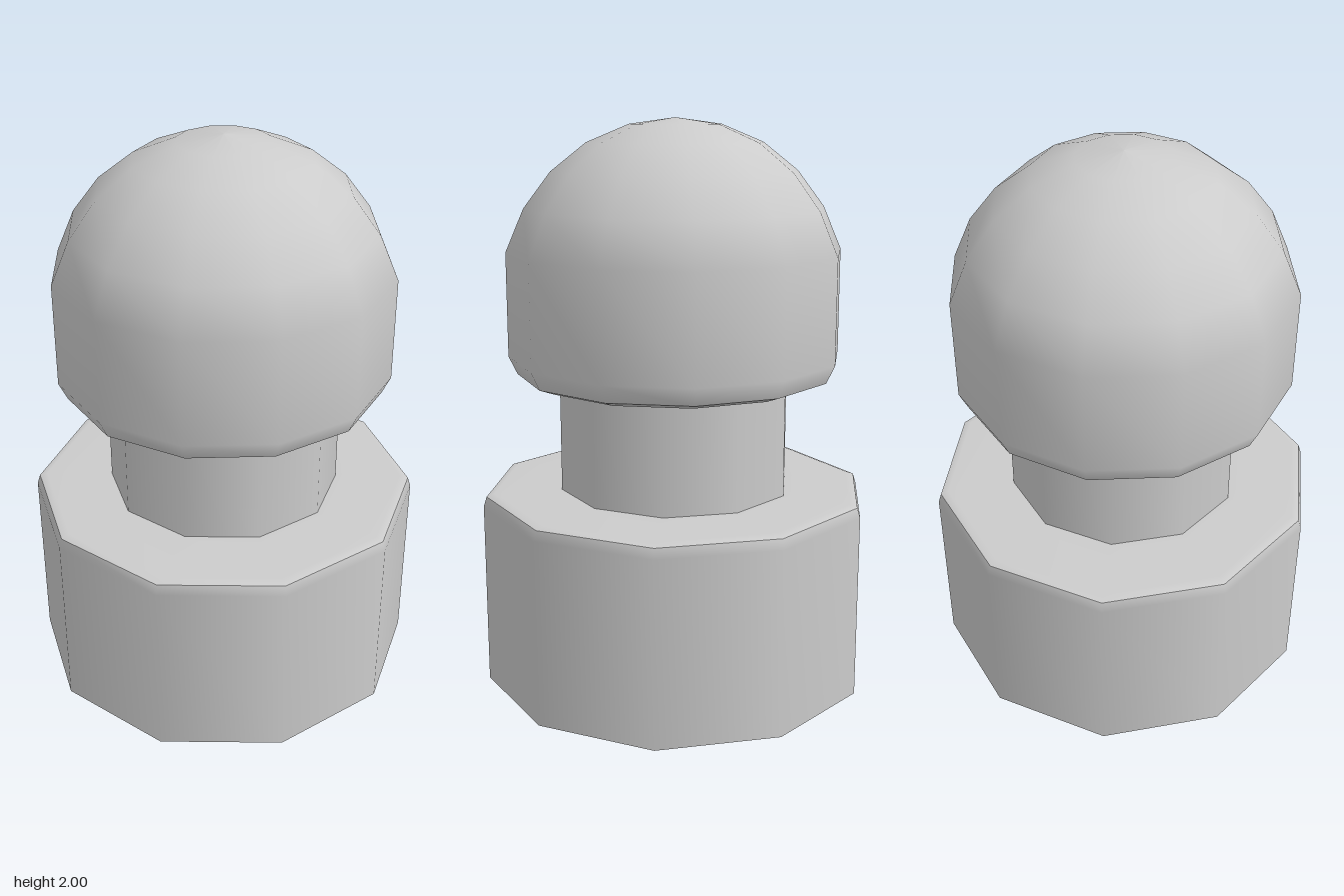
import * as THREE from 'three';

const material = new THREE.MeshStandardMaterial({ color: 0xcccccc, side: THREE.DoubleSide });

// One smooth turned surface; separate surfaces keep the edges between them sharp
function turned(name, sides, profile) {
  const points = profile.map(([r, y]) => new THREE.Vector2(r, y));
  const mesh = new THREE.Mesh(new THREE.LatheGeometry(points, sides), material);
  mesh.name = name;
  return mesh;
}

export function createModel() {
  const model = new THREE.Group();
  model.name = 'domedPost';

  // Ten-sided base, a thin shell open at the bottom
  const base = new THREE.Group();
  base.name = 'base';
  base.add(
    turned('baseWall', 10, [[0.695, 0], [0.695, 0.655], [0.684, 0.69]]),
    turned('baseTop', 10, [[0.684, 0.69], [0.655, 0.7], [0.41, 0.7]])
  );

  // Ten-sided neck
  const neck = turned('neck', 10, [[0.415, 0.7], [0.415, 1.1]]);

  // Twelve-sided domed head with a chamfered underside
  const head = new THREE.Group();
  head.name = 'head';
  head.add(
    turned('headUnderside', 12, [[0.38, 1.096], [0.503, 1.096], [0.56, 1.117]]),
    turned('headDome', 12, [
      [0.56, 1.117], [0.59, 1.18], [0.59, 1.545], [0.525, 1.695],
      [0.43, 1.82], [0.307, 1.917], [0.16, 1.978], [0, 2]
    ])
  );

  model.add(base, neck, head);
  return model;
}
